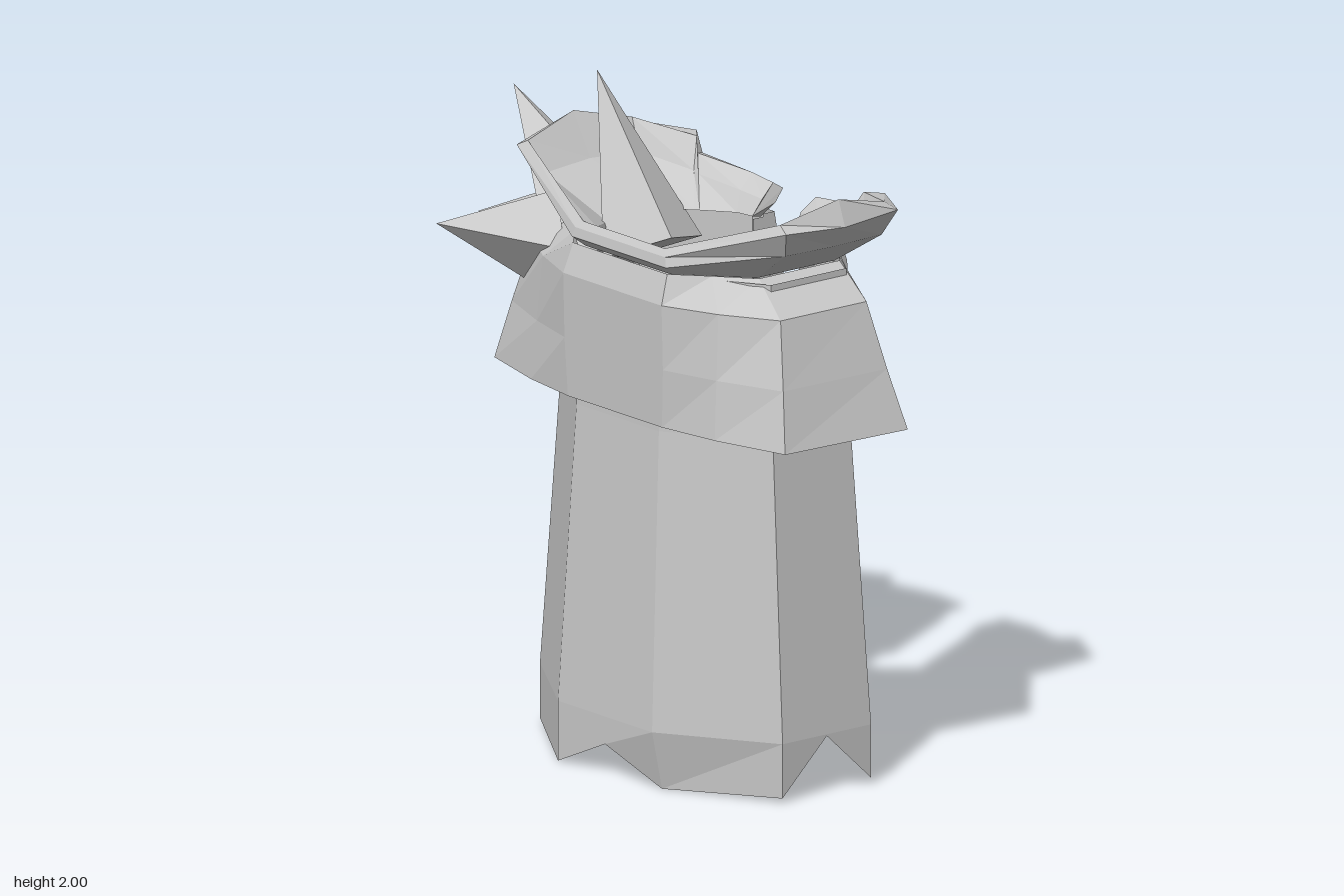
import * as THREE from 'three';

const CX = 0.18; // symmetry line of the garment
const V = (x, y, z) => new THREE.Vector3(x, y, z);
const mirror = (p) => V(2 * CX - p.x, p.y, p.z);

// Skins a grid of points; every row has the same number of points
function skin(rows, closed = false) {
  const pos = [], n = rows[0].length;
  const tri = (...t) => t.forEach((p) => pos.push(p.x, p.y, p.z));
  for (let i = 0; i < rows.length - 1; i++) {
    for (let j = 0; j < (closed ? n : n - 1); j++) {
      const k = (j + 1) % n;
      tri(rows[i][j], rows[i + 1][j], rows[i + 1][k]);
      tri(rows[i][j], rows[i + 1][k], rows[i][k]);
    }
  }
  if (closed) {
    for (const r of [rows[0], [...rows[rows.length - 1]].reverse()]) {
      for (let j = 1; j < n - 1; j++) tri(r[0], r[j], r[j + 1]);
    }
  }
  const g = new THREE.BufferGeometry();
  g.setAttribute('position', new THREE.Float32BufferAttribute(pos, 3));
  g.computeVertexNormals();
  return g;
}

export function createModel() {
  const group = new THREE.Group();
  const grey = new THREE.MeshStandardMaterial({ color: 0xc8c8c8, flatShading: true, side: THREE.DoubleSide });
  grey.name = 'grey cloth';
  const add = (name, geometry) => {
    const m = new THREE.Mesh(geometry, grey);
    m.name = name;
    group.add(m);
  };

  // Long cloak, open at the back: x, z, hem height, hem inset
  const plan = [
    [0.31, -0.31, 0.06, 0], [0.30, -0.385, 0.02, 0], [0.40, -0.39, 0.02, 0],
    [0.57, -0.28, 0.17, 0], [0.745, -0.17, 0.02, 0], [0.745, 0, 0.18, 0],
    [0.745, 0.17, 0.015, 0.03], [0.40, 0.388, 0, 0.12], [0.18, 0.388, 0.1, 0],
    [-0.04, 0.388, 0, 0], [-0.39, 0.17, 0.015, 0], [-0.39, -0.17, 0.12, 0],
    [-0.21, -0.28, 0.02, 0], [-0.04, -0.39, 0.02, 0], [0.06, -0.385, 0.15, 0],
    [0.06, -0.31, 0.18, 0],
  ];
  const ring = (y, s) => plan.map(([x, z]) => V(CX + (x - CX) * s, y, z * s));
  const hem = plan.map(([x, z, y, inset]) => V(CX + (x - CX) * (1 - inset * 0.4), y, z * (1 - inset)));
  add('cloak', skin([ring(1.58, 0.85), ring(1.1, 0.875), ring(0.185, 1), hem]));

  // Shoulder cape: half of each row from the back edge to the front middle; last row is the underside
  const capeRows = [
    [1.59, [0.57, -0.19], [0.61, -0.16], [0.61, 0.15], [0.50, 0.24], [0.40, 0.33]],
    [1.50, [0.60, -0.18], [0.76, -0.14], [0.76, 0.19], [0.59, 0.29], [0.41, 0.36]],
    [1.30, [0.62, -0.18], [0.82, -0.17], [0.815, 0.225], [0.60, 0.305], [0.41, 0.355]],
    [1.12, [0.65, -0.16], [0.88, -0.20], [0.86, 0.255], [0.61, 0.32], [0.40, 0.35]],
    [1.12, [0.65, -0.16], [0.665, -0.15], [0.665, 0.15], [0.52, 0.24], [0.37, 0.335]],
  ].map(([y, ...pts]) => {
    const half = pts.map(([x, z]) => V(x, y, z));
    return [...half, ...half.map(mirror).reverse()];
  });
  add('shoulderCape', skin(capeRows));

  // Pointed flaps falling beside the back opening
  add('leftBackFlap', skin([
    [V(0.28, 1.59, -0.30), V(0.28, 1.59, -0.345), V(0.38, 1.59, -0.345), V(0.62, 1.59, -0.18)],
    [V(0.28, 1.40, -0.33), V(0.28, 1.40, -0.38), V(0.37, 1.40, -0.375), V(0.61, 1.57, -0.19)],
    [V(0.28, 0.98, -0.345), V(0.28, 0.98, -0.385), V(0.32, 1.07, -0.38), V(0.60, 1.54, -0.20)],
  ]));
  add('rightBackFlap', skin([
    [V(0.08, 1.59, -0.30), V(0.08, 1.59, -0.345), V(-0.02, 1.59, -0.345), V(-0.25, 1.59, -0.18)],
    [V(0.08, 1.40, -0.33), V(0.08, 1.40, -0.38), V(-0.02, 1.40, -0.375), V(-0.30, 1.47, -0.19)],
    [V(0.08, 0.98, -0.345), V(0.08, 0.98, -0.385), V(-0.03, 1.10, -0.37), V(-0.33, 1.36, -0.19)],
  ]));

  // Flared collar: sections run outer foot, outer bend, outer lip, inner lip, inner bend, inner foot
  const sections = [
    [[0.29, 1.58, -0.30], [0.27, 1.62, -0.34], [0.27, 1.66, -0.37], [0.28, 1.68, -0.34], [0.27, 1.64, -0.29], [0.28, 1.59, -0.26]],
    [[0.38, 1.58, -0.30], [0.39, 1.62, -0.345], [0.40, 1.67, -0.375], [0.38, 1.69, -0.34], [0.36, 1.65, -0.28], [0.34, 1.59, -0.25]],
    [[0.47, 1.58, -0.26], [0.55, 1.65, -0.30], [0.58, 1.71, -0.315], [0.56, 1.72, -0.28], [0.52, 1.67, -0.25], [0.43, 1.59, -0.18]],
    [[0.49, 1.58, -0.25], [0.60, 1.68, -0.31], [0.62, 1.77, -0.325], [0.57, 1.77, -0.285], [0.53, 1.68, -0.24], [0.44, 1.59, -0.17]],
    [[0.60, 1.59, -0.15], [0.77, 1.70, -0.19], [0.81, 1.78, -0.22], [0.77, 1.80, -0.20], [0.71, 1.71, -0.18], [0.51, 1.59, -0.11]],
    [[0.60, 1.59, 0], [0.78, 1.70, 0], [0.83, 1.77, 0], [0.80, 1.85, 0], [0.72, 1.72, 0], [0.51, 1.59, 0]],
    [[0.60, 1.59, 0.15], [0.77, 1.70, 0.18], [0.81, 1.78, 0.21], [0.77, 1.80, 0.20], [0.71, 1.71, 0.18], [0.51, 1.59, 0.11]],
    [[0.38, 1.58, 0.30], [0.40, 1.61, 0.335], [0.39, 1.64, 0.33], [0.37, 1.66, 0.315], [0.35, 1.64, 0.28], [0.34, 1.59, 0.26]],
  ].map((s) => s.map((p) => V(...p)));
  const mirrored = sections.map((s) => s.map(mirror)).reverse();
  add('collar', skin([...sections, ...mirrored], true));

  // Spiked guard on the right shoulder
  const core = new THREE.IcosahedronGeometry(1, 0);
  core.scale(0.19, 0.16, 0.27);
  core.translate(-0.36, 1.49, 0);
  add('shoulderGuard', core);
  // Spike: base centre, tip, base half width across x-y, base half width along z
  const spike = (name, base, tip, w, d) => {
    const a = V(...base);
    const along = V(...tip).sub(a);
    const length = along.length();
    along.normalize();
    const ref = Math.abs(along.z) > 0.8 ? V(1, 0, 0) : V(0, 0, 1);
    const side = V(0, 0, 0).crossVectors(along, ref).normalize();
    const g = new THREE.ConeGeometry(1, length, 4);
    g.translate(0, length / 2, 0);
    g.scale(w, 1, d);
    const out = V(0, 0, 0).crossVectors(side, along);
    g.applyMatrix4(new THREE.Matrix4().makeBasis(side, along, out).setPosition(a));
    add(name, g);
  };
  spike('outerSpike', [-0.36, 1.49, 0], [-0.885, 1.44, 0], 0.17, 0.2);
  spike('upperSpike', [-0.37, 1.55, 0], [-0.72, 1.87, 0], 0.12, 0.18);
  spike('neckSpike', [-0.07, 1.51, 0], [-0.33, 2.0, 0], 0.1, 0.19);
  spike('lowerSpike', [-0.34, 1.42, 0], [-0.72, 1.22, 0], 0.12, 0.17);
  for (const s of [1, -1]) {
    spike(s > 0 ? 'frontSpike' : 'backSpike', [-0.36, 1.5, 0.16 * s], [-0.51, 1.57, 0.47 * s], 0.15, 0.18);
  }
  return group;
}
